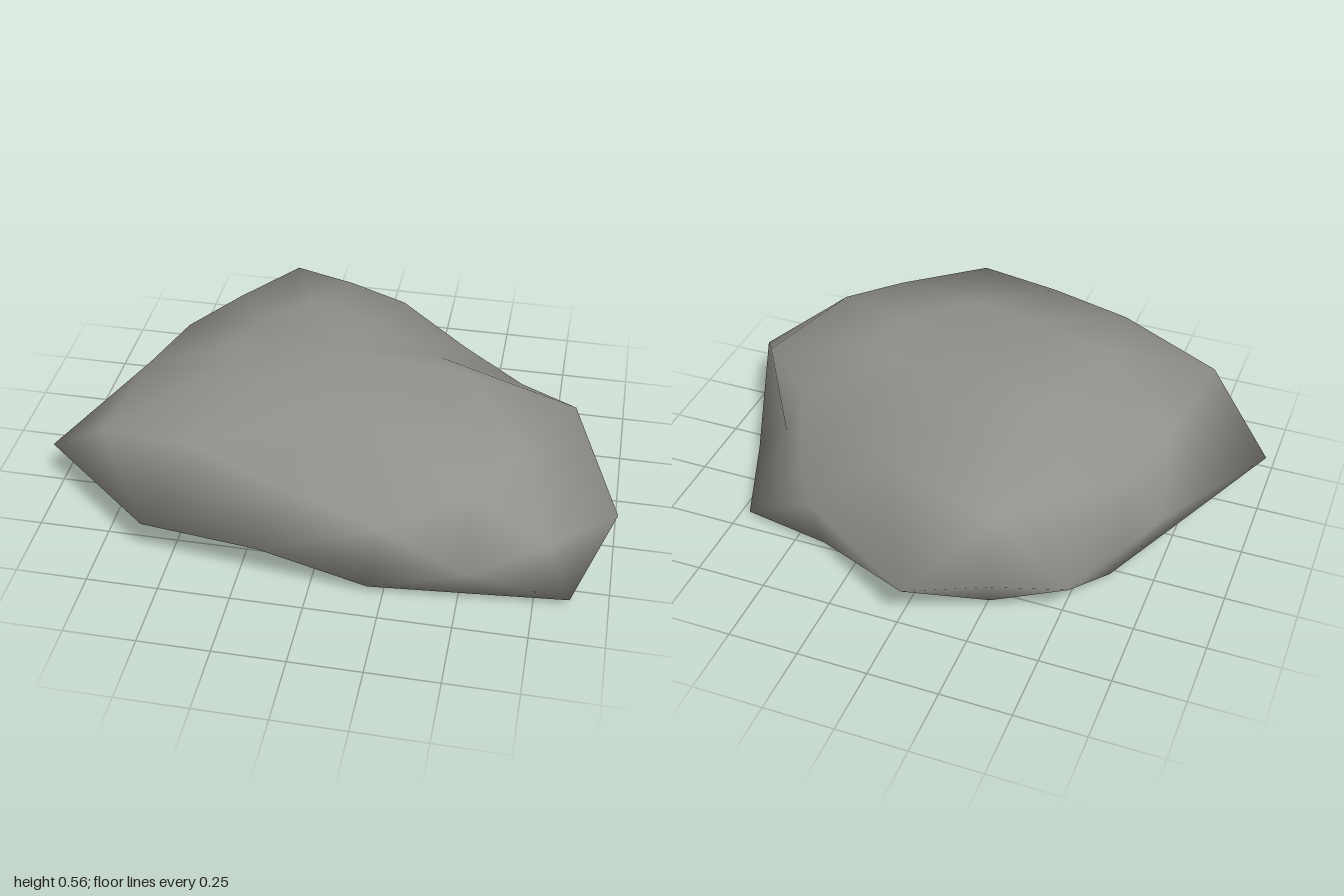
import * as THREE from 'three';

// A squat, smooth-shaded boulder lofted through irregular rings.
// Each ring runs from the front (+z) round by +x, as [x, y, z].
const foot = [
  [0.2, 0.04, 0.65], [0.54, 0.035, 0.615], [0.87, 0.03, 0.58], [0.92, 0.07, 0.13], [0.82, 0.06, -0.14],
  [0.71, 0.02, -0.44], [0.38, 0.035, -0.51], [-0.02, 0.04, -0.59], [-0.27, 0.04, -0.58], [-0.46, 0.04, -0.45],
  [-0.61, 0.045, -0.32], [-0.7, 0.045, -0.12], [-0.76, 0.045, 0.05], [-0.45, 0.015, 0.26], [-0.1, 0.025, 0.47],
];
const girth = [
  [0.24, 0.22, 0.73], [0.54, 0.2, 0.71], [0.78, 0.2, 0.52], [1, 0.2, 0.32], [0.68, 0.2, -0.17],
  [0.53, 0.19, -0.36], [0.42, 0.2, -0.52], [-0.04, 0.2, -0.8], [-0.3, 0.2, -0.68], [-0.54, 0.17, -0.57],
  [-0.66, 0.2, -0.36], [-0.74, 0.2, -0.16], [-1, 0.2, 0.3], [-0.57, 0.2, 0.66], [-0.16, 0.2, 0.71],
];
const shoulder = [
  [0.26, 0.43, 0.8], [0.53, 0.43, 0.58], [0.67, 0.46, 0.37], [0.82, 0.41, 0.02], [0.62, 0.37, -0.14],
  [0.4, 0.42, -0.26], [0.14, 0.45, -0.47], [-0.08, 0.45, -0.57], [-0.3, 0.45, -0.64], [-0.48, 0.43, -0.43],
  [-0.63, 0.41, -0.23], [-0.7, 0.42, 0.04], [-0.75, 0.42, 0.46], [-0.38, 0.49, 0.57], [-0.06, 0.46, 0.7],
];

export function createModel() {
  const stone = new THREE.MeshStandardMaterial({ color: 0x91908a });
  stone.name = 'stone grey';

  // The crown is the shoulder drawn in, nearly level
  const crown = shoulder.map(([x, , z]) => [x * 0.53, 0.535 - 0.02 * x + 0.013 * Math.abs(z), z * 0.46 + 0.03]);
  const rings = [foot, girth, shoulder, crown];
  const n = foot.length;
  const points = [...rings.flat(), [0, 0, 0], [0, 0.54, 0]];
  const corners = points.map((p) => new THREE.Vector3(...p));
  const base = rings.length * n;
  const summit = base + 1;

  const index = [];
  const plane = new THREE.Plane();
  for (let i = 0; i < n; i++) {
    const j = (i + 1) % n;
    for (let r = 0; r < rings.length - 1; r++) {
      const a = r * n + i, b = r * n + j, c = b + n, d = a + n;
      // Split each facet along the diagonal that bulges outward
      plane.setFromCoplanarPoints(corners[a], corners[b], corners[c]);
      if (plane.distanceToPoint(corners[d]) <= 0) index.push(a, b, c, a, c, d);
      else index.push(a, b, d, b, c, d);
    }
    // Underside and top fans
    index.push(base, j, i);
    index.push(summit, base - n + i, base - n + j);
  }

  const geometry = new THREE.BufferGeometry();
  geometry.setAttribute('position', new THREE.Float32BufferAttribute(points.flat(), 3));
  geometry.setIndex(index);
  geometry.computeVertexNormals();

  const boulder = new THREE.Mesh(geometry, stone);
  boulder.name = 'boulder';
  const group = new THREE.Group();
  group.name = 'rock';
  group.add(boulder);
  return group;
}
